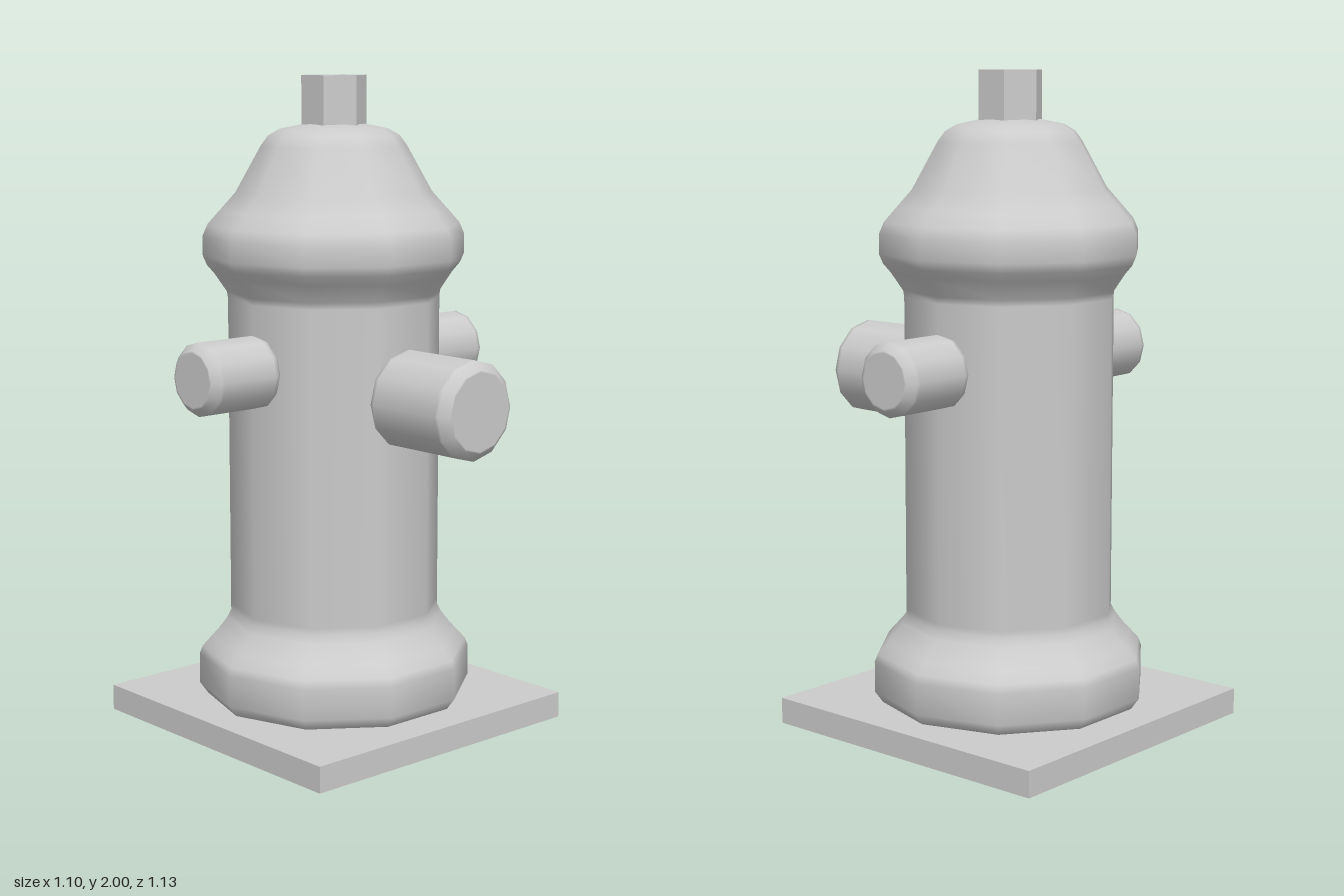
import * as THREE from 'three';

const AXIS_Z = -0.065; // barrel axis, set back to balance the front outlet

export function createModel() {
  const model = new THREE.Group();
  const grey = new THREE.MeshStandardMaterial({ color: 0xcccccc });
  grey.name = 'grey';

  const add = (name, geometry, x, y, z) => {
    const mesh = new THREE.Mesh(geometry, grey);
    mesh.name = name;
    mesh.position.set(x, y, z);
    model.add(mesh);
    return mesh;
  };
  const lathe = (points, sides) =>
    new THREE.LatheGeometry(points.map(([r, y]) => new THREE.Vector2(r, y)), sides);

  // Square ground plate
  add('basePlate', new THREE.BoxGeometry(1, 0.08, 1), 0, 0.04, AXIS_Z);

  // Ten-sided barrel with flared foot and bonnet
  const barrel = lathe([
    [0, 0.078], [0.38, 0.078], [0.4, 0.08], [0.425, 0.115], [0.425, 0.21],
    [0.415, 0.235], [0.385, 0.268], [0.365, 0.29], [0.338, 0.325], [0.325, 0.35], [0.325, 0.37],
    [0.325, 1.33], [0.328, 1.35], [0.365, 1.405], [0.388, 1.432], [0.4, 1.46], [0.4, 1.52],
    [0.385, 1.555], [0.345, 1.6], [0.3, 1.65], [0.222, 1.79], [0.2, 1.82],
    [0.165, 1.84], [0.09, 1.855], [0, 1.857],
  ], 10);
  barrel.rotateY(Math.PI / 2); // corners on the x axis
  add('barrel', barrel, 0, 0, AXIS_Z);

  // Hexagonal operating nut
  const nut = new THREE.CylinderGeometry(0.1, 0.1, 0.17, 6).toNonIndexed();
  nut.computeVertexNormals();
  add('topNut', nut, 0, 1.915, AXIS_Z);

  // Outlet with softened rims, running along +y from 0 to length
  const outlet = (radius, length, bevel) => lathe([
    [0, 0], [radius - bevel, 0], [radius, bevel], [radius, bevel + 0.012],
    [radius, length - bevel - 0.012], [radius, length - bevel],
    [radius - bevel, length], [radius - bevel - 0.006, length], [0, length],
  ], 12);

  add('frontOutlet', outlet(0.148, 0.33, 0.026), 0, 1.055, 0.235).rotation.x = Math.PI / 2;
  for (const side of [1, -1]) {
    add(side > 0 ? 'leftOutlet' : 'rightOutlet', outlet(0.11, 0.26, 0.023), side * 0.29, 1.13, AXIS_Z)
      .rotation.z = -side * Math.PI / 2;
  }

  return model;
}
